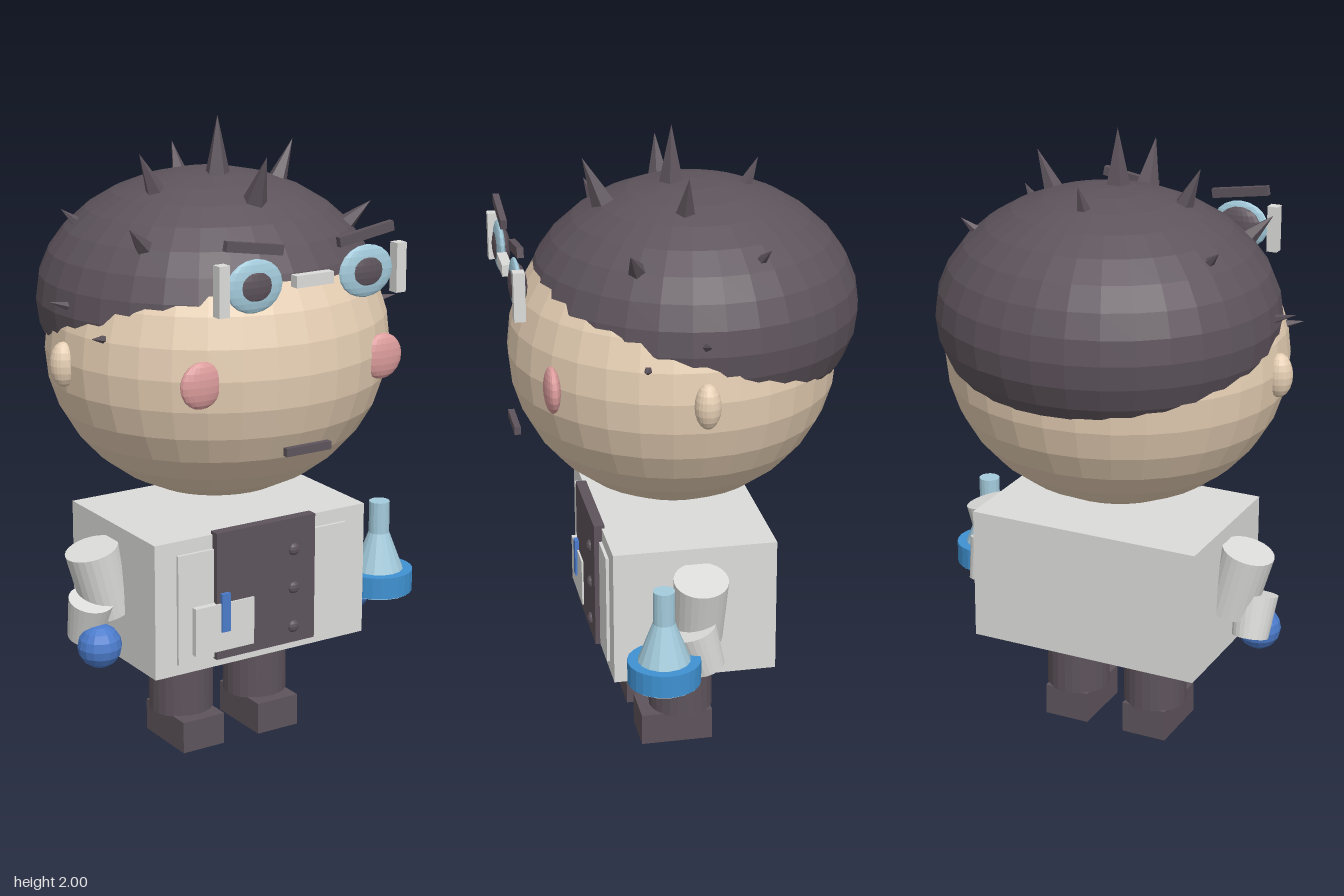
import * as THREE from 'three';

const material = (name, color, flat = true) => {
  const m = new THREE.MeshStandardMaterial({ color, flatShading: flat });
  m.name = name;
  return m;
};

export function createModel() {
  const dark = material('charcoal', 0x5e545c);
  const skin = material('skin', 0xe6cfb4);
  const pink = material('blush', 0xdc9c9c);
  const coat = material('coat white', 0xdcdcda);
  const glass = material('glass', 0xa4cbdc);
  const blue = material('glove blue', 0x4c7ccc);
  const liquid = material('liquid blue', 0x3f92d2);

  const model = new THREE.Group();
  model.name = 'scientist';
  const CX = -0.034, CZ = 0.02; // centre line of the figure

  const add = (name, geometry, mat, x, y, z, parent = model) => {
    const mesh = new THREE.Mesh(geometry, mat);
    mesh.name = name;
    mesh.position.set(x, y, z);
    parent.add(mesh);
    return mesh;
  };
  const box = (name, mat, w, h, d, x, y, z) =>
    add(name, new THREE.BoxGeometry(w, h, d), mat, x, y, z);
  const ellipsoid = (name, mat, rx, ry, rz, x, y, z, seg = 20) =>
    add(name, new THREE.SphereGeometry(1, seg, seg / 2).scale(rx, ry, rz), mat, x, y, z);
  const cylinder = (name, mat, rTop, rBottom, h, x, y, z, seg = 24) =>
    add(name, new THREE.CylinderGeometry(rTop, rBottom, h, seg), mat, x, y, z);

  // Head with a hair cap that breaks through the upper back
  ellipsoid('head', skin, 0.545, 0.485, 0.515, CX, 1.3, CZ, 32);
  ellipsoid('hair', dark, 0.539, 0.39, 0.52, CX, 1.44, -0.04, 32);

  // Hair spikes: tip offset from centre line, length, base radius
  const headCentre = new THREE.Vector3(CX, 1.3, CZ);
  const spike = (x, y, z, length, radius) => {
    const tip = new THREE.Vector3(CX + x, y, z);
    const dir = tip.clone().sub(headCentre).normalize();
    const c = tip.clone().addScaledVector(dir, -length / 2);
    const cone = add('hairSpike', new THREE.ConeGeometry(radius, length, 5), dark, c.x, c.y, c.z);
    cone.quaternion.setFromUnitVectors(new THREE.Vector3(0, 1, 0), dir);
  };
  spike(0, 2.0, 0.02, 0.25, 0.055);
  spike(0, 1.91, 0.295, 0.21, 0.052);
  spike(0, 1.885, -0.25, 0.14, 0.035);

  for (const s of [-1, 1]) {
    spike(s * 0.275, 1.905, 0.02, 0.19, 0.045);
    spike(s * 0.43, 1.727, 0.225, 0.14, 0.04);
    spike(s * 0.43, 1.72, -0.192, 0.1, 0.028);
    spike(s * 0.593, 1.493, 0.02, 0.13, 0.025);
    spike(s * 0.55, 1.412, 0.205, 0.1, 0.023);

    // Face
    ellipsoid('ear', skin, 0.042, 0.07, 0.04, CX + s * 0.545, 1.295, CZ);
    ellipsoid('cheek', pink, 0.071, 0.071, 0.025, CX + s * 0.322, 1.295, 0.446);
    ellipsoid('eye', dark, 0.075, 0.062, 0.028, CX + s * 0.195, 1.59, 0.524);
    ellipsoid('lens', glass, 0.096, 0.079, 0.017, CX + s * 0.195, 1.59, 0.53);
    box('glassesTemple', coat, 0.035, 0.15, 0.035, CX + s * 0.309, 1.59, 0.535);
    const brow = box('eyebrow', dark, 0.195, 0.03, 0.02, CX + s * 0.195, 1.7, 0.525);
    brow.rotation.z = s * 0.16;

    // Arms
    const upper = cylinder('upperArm', coat, 0.085, 0.078, 0.22, CX + s * 0.432, 0.587, CZ);
    upper.rotation.z = s * -0.26;
    upper.rotation.z = -upper.rotation.z * -1;
    const fore = cylinder('forearm', coat, 0.072, 0.058, 0.14, CX + s * 0.478, 0.472, 0.027);
    fore.rotation.x = 0.3;
    ellipsoid('hand', blue, 0.07, 0.07, 0.07, CX + s * 0.475, 0.4, 0.09, 16);

    // Legs
    cylinder('leg', dark, 0.103, 0.103, 0.225, CX + s * 0.141, 0.2125, 0.022);
    box('boot', dark, 0.152, 0.104, 0.232, CX + s * 0.141, 0.052, 0.047);
  }
  box('glassesBridge', coat, 0.13, 0.036, 0.03, CX, 1.59, 0.538);
  box('mouth', dark, 0.158, 0.025, 0.02, CX, 1.073, 0.522);

  // Coat body and front layers
  box('torso', coat, 0.773, 0.435, 0.515, CX, 0.5475, 0.0225);
  box('coatFront', coat, 0.62, 0.355, 0.02, CX, 0.5425, 0.28);
  box('shirtPanel', dark, 0.363, 0.413, 0.034, CX, 0.568, 0.288);
  box('pocket', coat, 0.212, 0.155, 0.03, -0.188, 0.468, 0.296);
  box('pen', blue, 0.03, 0.125, 0.02, -0.188, 0.516, 0.308);
  for (const y of [0.672, 0.545, 0.415]) ellipsoid('button', dark, 0.02, 0.02, 0.012, 0.068, y, 0.306, 12);

  // Flask held in the left hand
  const fx = 0.508, fz = 0.152;
  cylinder('flaskBody', glass, 0.034, 0.11, 0.2, fx, 0.504, fz, 16);
  cylinder('flaskNeck', glass, 0.034, 0.034, 0.12, fx, 0.65, fz, 16);
  cylinder('flaskLiquid', liquid, 0.113, 0.113, 0.072, fx, 0.443, fz, 24);

  return model;
}
